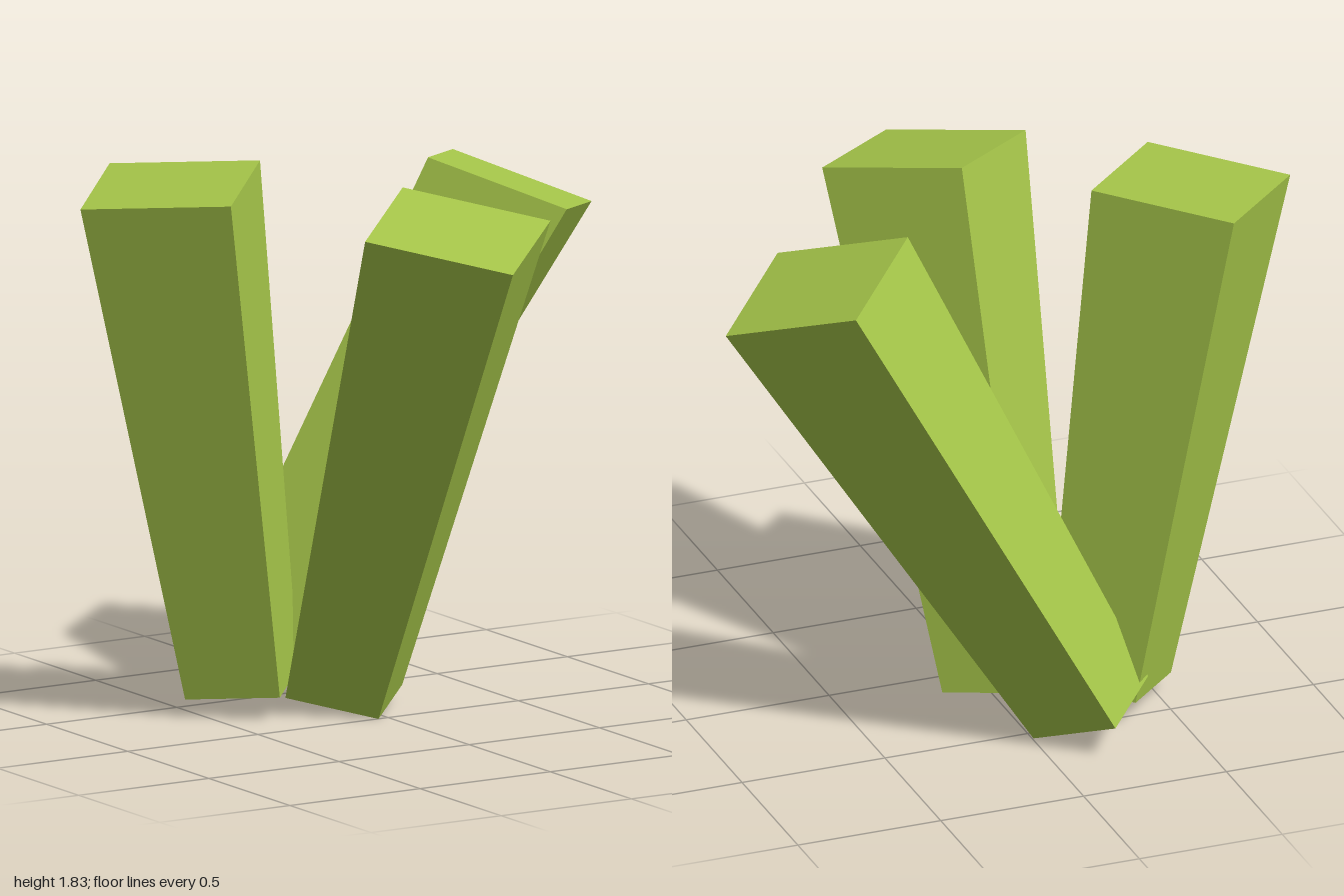
import * as THREE from 'three';

const TAPER = 0.63; // foot width relative to top width

// Slanted square bar: a box whose ends are placed at foot and tip,
// with u and v as half-edges of the tip.
function bar(name, material, tip, foot, u, v) {
  const geometry = new THREE.BoxGeometry(2, 1, 2);
  const [a, b, hu, hv] = [tip, foot, u, v].map((p) => new THREE.Vector3(...p));
  const pos = geometry.attributes.position;
  for (let i = 0; i < pos.count; i++) {
    const top = pos.getY(i) > 0;
    const s = top ? 1 : TAPER;
    const p = (top ? a : b).clone()
      .addScaledVector(hu, s * pos.getX(i))
      .addScaledVector(hv, s * pos.getZ(i));
    pos.setXYZ(i, p.x, p.y, p.z);
  }
  geometry.computeVertexNormals();
  const mesh = new THREE.Mesh(geometry, material);
  mesh.name = name;
  return mesh;
}

export function createModel() {
  const group = new THREE.Group();
  group.name = 'grassTuft';
  const green = new THREE.MeshStandardMaterial({ color: 0xa5c549 });
  green.name = 'grass green';

  group.add(
    // blade leaning forward
    bar('frontBlade', green, [0, 1.705, 0.43], [-0.038, 0.06, -0.212],
      [0.178, 0.04, -0.17], [0.178, -0.045, 0.17]),
    // blade leaning to the right
    bar('rightBlade', green, [-0.648, 1.8, -0.303], [-0.335, 0.09, -0.365],
      [0.17, 0.025, -0.183], [0.183, 0.015, 0.17]),
    // blade leaning far to the left
    bar('leftBlade', green, [0.67, 1.667, -0.325], [-0.198, 0.093, -0.558],
      [0.163, -0.038, -0.185], [0.163, -0.075, 0.166]),
  );
  return group;
}
